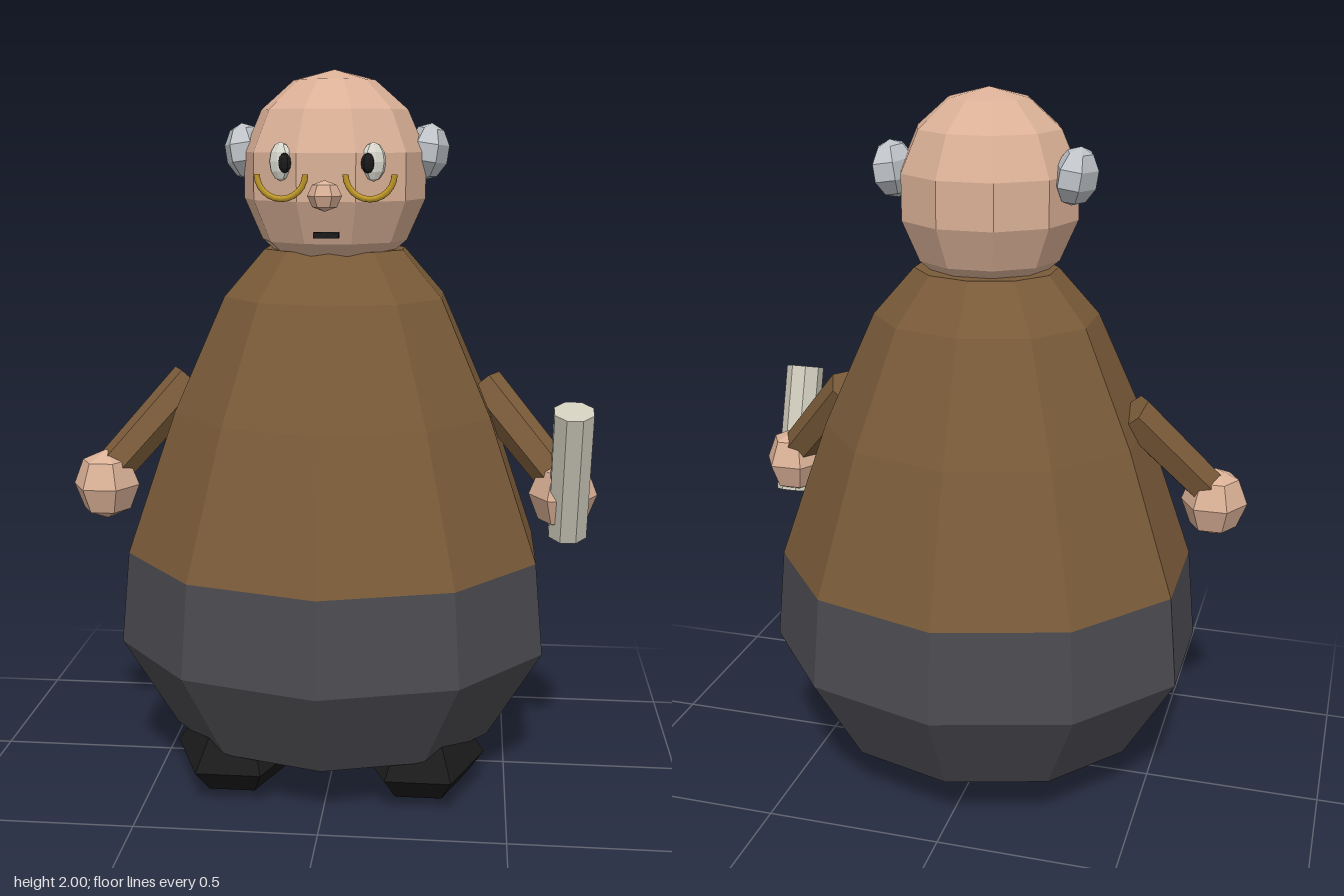
import * as THREE from 'three';

const mat = (name, color) => {
  const m = new THREE.MeshStandardMaterial({ color });
  m.name = name;
  return m;
};

export function createModel() {
  const model = new THREE.Group();
  model.name = 'figure';

  const skin = mat('skin', 0xdbb197);
  const brown = mat('brown coat', 0x7a5b39);
  const charcoal = mat('charcoal trousers', 0x4a4a50);
  const black = mat('black', 0x1a1a1b);
  const grey = mat('grey hair', 0xc0c4c9);
  const gold = mat('gold', 0xc29a2a);
  const stone = mat('pale roll', 0xcfccbc);
  const white = mat('eye white', 0xdcdcd2);

  // Adds a mesh; faceted parts get one normal per face
  const add = (name, geo, material, pos = [0, 0, 0], smooth = false) => {
    let g = geo;
    if (!smooth) {
      g = geo.index ? geo.toNonIndexed() : geo;
      g.computeVertexNormals();
    }
    const mesh = new THREE.Mesh(g, material);
    mesh.name = name;
    mesh.position.set(...pos);
    model.add(mesh);
    return mesh;
  };
  const ball = (rx, ry, rz, w, h) => new THREE.SphereGeometry(1, w, h).scale(rx, ry, rz);
  const lathe = (pts) =>
    new THREE.LatheGeometry(pts.map((p) => new THREE.Vector2(...p)), 10).scale(1, 1, 0.9);
  // Cylinder running between two points
  const rod = (name, a, b, rTop, rBottom, sides, material) => {
    const top = new THREE.Vector3(...a), bottom = new THREE.Vector3(...b);
    const dir = top.clone().sub(bottom);
    const geo = new THREE.CylinderGeometry(rTop, rBottom, dir.length(), sides).rotateY(Math.PI / sides);
    const mesh = add(name, geo, material, top.clone().add(bottom).multiplyScalar(0.5).toArray());
    mesh.quaternion.setFromUnitVectors(new THREE.Vector3(0, 1, 0), dir.normalize());
    return mesh;
  };

  // Ten-sided body in two colours
  add('trousers', lathe([[0, 0.15], [0.47, 0.15], [0.625, 0.41], [0.6, 0.67]]), charcoal);
  add('coat', lathe([[0.6, 0.67], [0.46, 1.07], [0.315, 1.39], [0.2, 1.52], [0, 1.52]]), brown);

  // Head and face
  add('head', ball(0.256, 0.28, 0.25, 10, 7), skin, [0, 1.72, 0.025]);
  add('nose', ball(0.045, 0.04, 0.042, 6, 4), skin, [0, 1.675, 0.293]);
  add('mouth', new THREE.BoxGeometry(0.066, 0.015, 0.024), black, [0, 1.572, 0.25]);

  for (const s of [1, -1]) {
    const side = s > 0 ? 'left' : 'right';

    const eye = add(side + 'Eye', ball(0.034, 0.05, 0.022, 8, 6), white, [s * 0.121, 1.76, 0.229]);
    eye.rotation.y = s * 0.35;
    const pupil = add(side + 'Pupil', ball(0.019, 0.026, 0.012, 8, 6), black, [s * 0.108, 1.757, 0.25]);
    pupil.rotation.y = s * 0.35;

    // Half-ring spectacles
    const ring = new THREE.TorusGeometry(0.063, 0.008, 6, 12, Math.PI).rotateZ(Math.PI);
    add(side + 'Spectacle', ring, gold, [s * 0.115, 1.729, 0.272], true);

    const tuft = add(side + 'HairTuft', ball(0.06, 0.078, 0.1, 6, 5), grey, [s * 0.252, 1.782, -0.027]);
    tuft.rotation.z = s * -0.15;

    rod(side + 'Arm', [s * 0.415, 1.14, 0], [s * 0.625, 0.9, 0.105], 0.06, 0.055, 6, brown);
    add(side + 'Hand', ball(0.094, 0.1, 0.098, 6, 4), skin, [s * 0.641, 0.857, 0.115]);
    add(side + 'Shoe', ball(0.18, 0.105, 0.26, 6, 4), black, [s * 0.26, 0.11, 0.16]);
  }

  // Roll held in the left hand
  rod('roll', [0.655, 1.115, 0.245], [0.655, 0.75, 0.125], 0.056, 0.056, 8, stone);

  return model;
}
